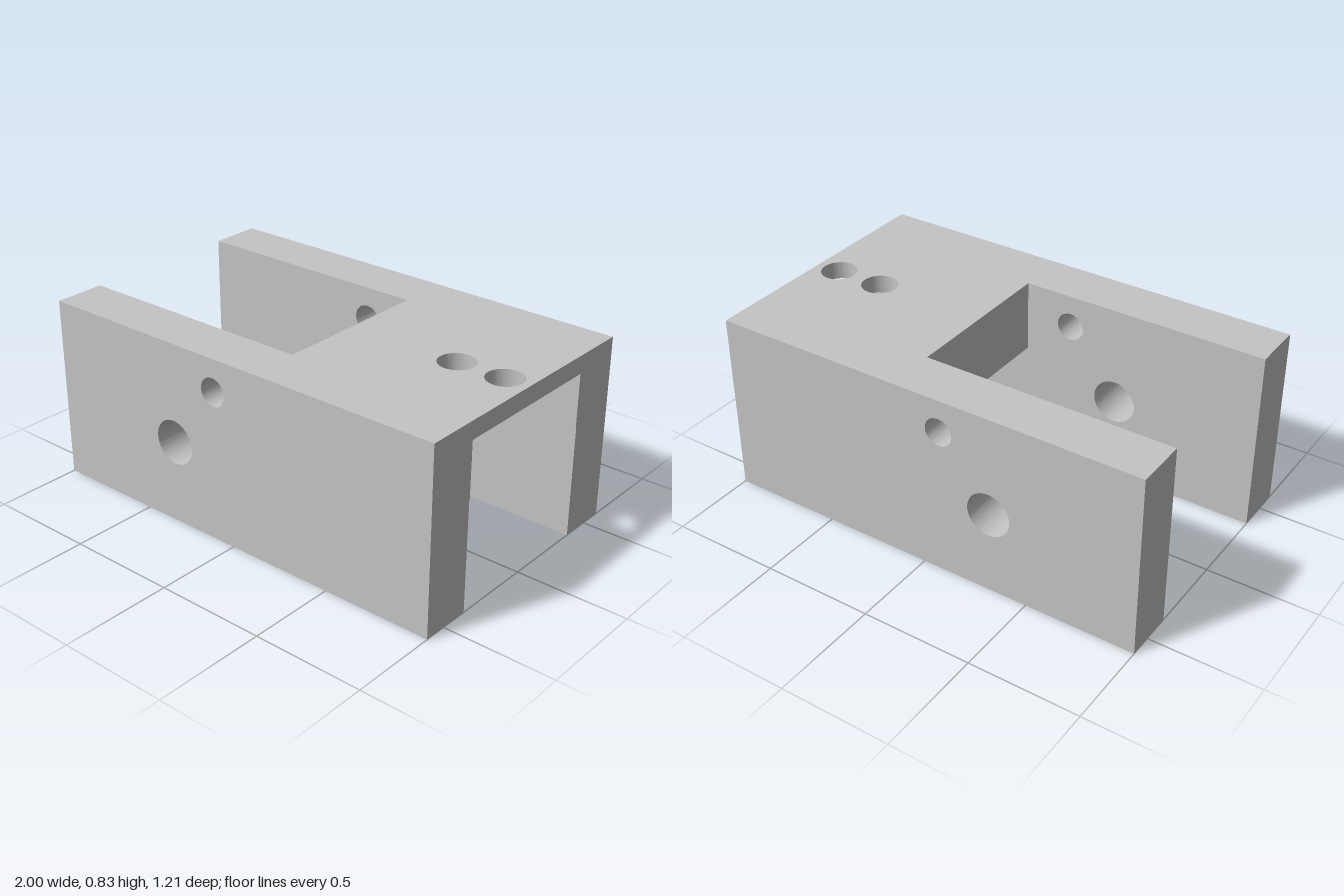
import * as THREE from 'three';
import { toCreasedNormals } from 'three/addons/utils/BufferGeometryUtils.js';

const HEIGHT = 0.83;
const OUTER_Z = 0.603;
const INNER_Z = 0.37;
const BLOCK_BOTTOM = 0.503;
const WEB_BOTTOM = 0.749;

// Rectangular plate pierced by round holes [x, y, radius], extruded along +z
function drilledPlate(x0, y0, x1, y1, depth, holes) {
  const shape = new THREE.Shape();
  shape.moveTo(x0, y0);
  shape.lineTo(x1, y0);
  shape.lineTo(x1, y1);
  shape.lineTo(x0, y1);
  shape.closePath();
  for (const [x, y, r] of holes) {
    const hole = new THREE.Path();
    hole.absarc(x, y, r, 0, Math.PI * 2, true);
    shape.holes.push(hole);
  }
  const geometry = new THREE.ExtrudeGeometry(shape, { depth, bevelEnabled: false, curveSegments: 40 });
  return toCreasedNormals(geometry, 0.6);
}

export function createModel() {
  const group = new THREE.Group();
  group.name = 'clevisBracket';
  const metal = new THREE.MeshStandardMaterial({ color: 0xc4c4c4 });
  metal.name = 'light grey metal';

  const add = (name, geometry) => {
    const mesh = new THREE.Mesh(geometry, metal);
    mesh.name = name;
    group.add(mesh);
    return mesh;
  };

  // Two side cheeks, each with a large and a small cross hole
  const crossHoles = [[-0.322, 0.378, 0.1], [-0.089, 0.682, 0.063]];
  const cheek = drilledPlate(-1, 0, 1, HEIGHT, OUTER_Z - INNER_Z, crossHoles);
  add('frontCheek', cheek).position.z = INNER_Z;
  add('backCheek', cheek).position.z = -OUTER_Z;

  // Thick cross block closing the open slot
  const block = new THREE.BoxGeometry(0.38, HEIGHT - BLOCK_BOTTOM, INNER_Z * 2);
  add('crossBlock', block).position.set(0.32, (HEIGHT + BLOCK_BOTTOM) / 2, 0);

  // Thin top web with two vertical bolt holes
  const boltHoles = [[0.66, 0, 0.08], [0.886, 0, 0.08]];
  const web = drilledPlate(0.51, -INNER_Z, 1, INNER_Z, HEIGHT - WEB_BOTTOM, boltHoles);
  web.rotateX(-Math.PI / 2);
  add('topWeb', web).position.y = WEB_BOTTOM;

  // Shallow raised lands on the cheeks beneath the web
  const land = new THREE.BoxGeometry(0.49, WEB_BOTTOM - BLOCK_BOTTOM, 0.003);
  for (const side of [1, -1]) {
    add(side > 0 ? 'frontLand' : 'backLand', land)
      .position.set(0.755, (WEB_BOTTOM + BLOCK_BOTTOM) / 2, side * (INNER_Z - 0.0015));
  }

  return group;
}
